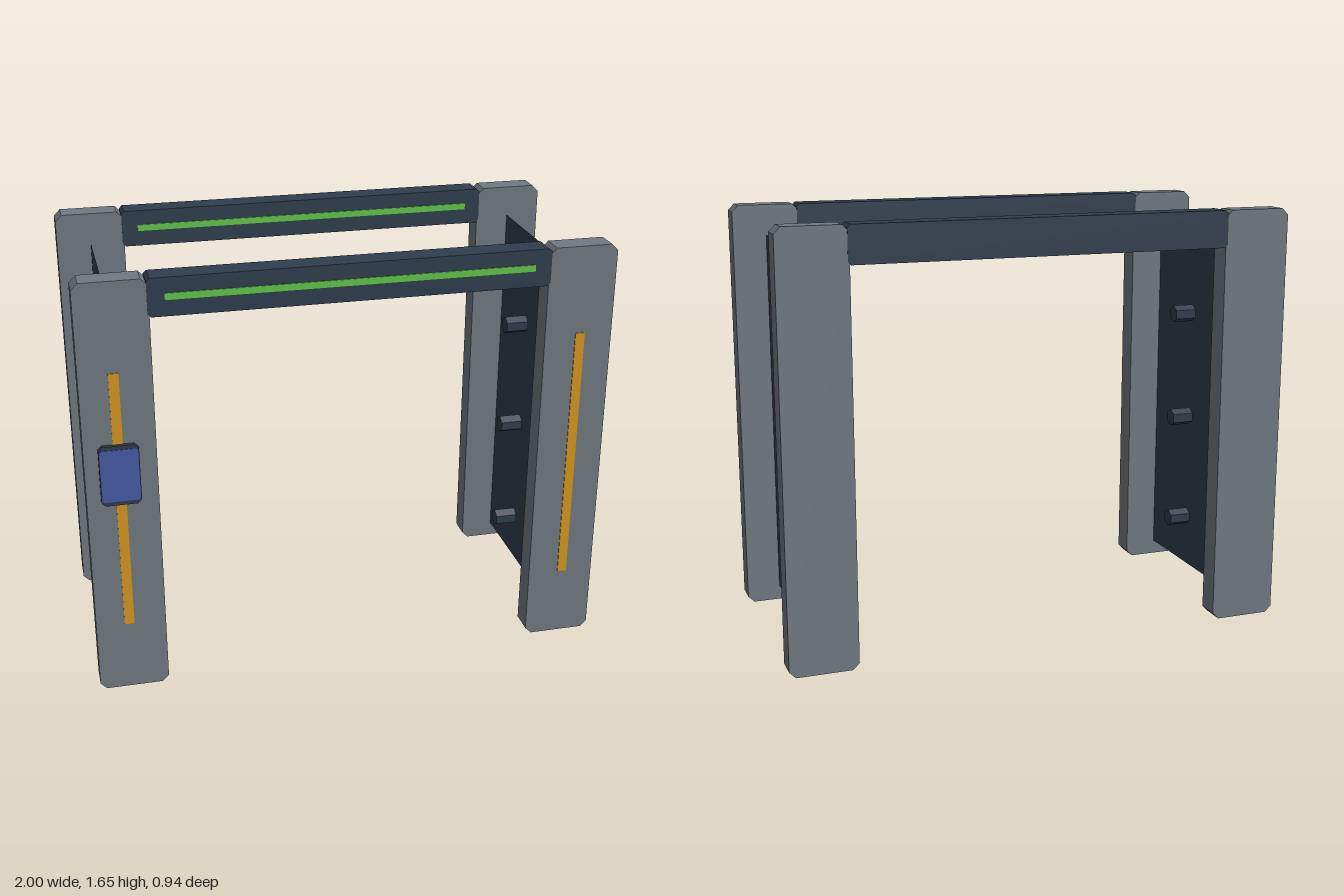
import * as THREE from 'three';

const mat = (name, color) => {
  const m = new THREE.MeshStandardMaterial({ color });
  m.name = name;
  return m;
};

// Plate in the xy plane with chamfered corners, spanning z0..z1
function chamferPlate(x0, x1, y0, y1, z0, z1, c) {
  const s = new THREE.Shape([
    [x0 + c, y0], [x1 - c, y0], [x1, y0 + c], [x1, y1 - c],
    [x1 - c, y1], [x0 + c, y1], [x0, y1 - c], [x0, y0 + c],
  ].map(([x, y]) => new THREE.Vector2(x, y)));
  return new THREE.ExtrudeGeometry(s, { depth: z1 - z0, bevelEnabled: false }).translate(0, 0, z0);
}

export function createModel() {
  const root = new THREE.Group();
  root.name = 'walkThroughGate';
  const grey = mat('pillar grey', 0x707a82);
  const navy = mat('dark navy', 0x2f3d4e);
  const panelNavy = mat('panel navy', 0x2f3d4e);
  panelNavy.side = THREE.DoubleSide;
  const orange = mat('orange light', 0xd6961f);
  const green = mat('green light', 0x5fc546);
  const blue = mat('screen blue', 0x465ca6);

  const add = (name, geometry, material, x = 0, y = 0, z = 0) => {
    const mesh = new THREE.Mesh(geometry, material);
    mesh.name = name;
    mesh.position.set(x, y, z);
    root.add(mesh);
  };

  // Two portal frames: pillars, top beam and its light strip
  for (const [end, z0, z1] of [['front', 0.36, 0.452], ['back', -0.47, -0.38]]) {
    add(end + 'RightPillar', chamferPlate(-1, -0.735, 0, 1.65, z0, z1, 0.025), grey);
    add(end + 'LeftPillar', chamferPlate(0.735, 1, 0, 1.65, z0, z1, 0.025), grey);
    add(end + 'Beam', chamferPlate(-0.742, 0.742, 1.507, 1.65, z0 - 0.001, z1 + 0.001, 0.012), navy);
    add(end + 'BeamLight', new THREE.BoxGeometry(1.36, 0.025, 0.004), green, 0, 1.58, z1 + 0.002);
  }

  for (const [side, s] of [['left', 1], ['right', -1]]) {
    // Thin wall between the front and back pillars
    add(side + 'Panel', new THREE.PlaneGeometry(0.74, 1.47).rotateY(s * Math.PI / 2),
      panelNavy, s * 0.868, 0.795, -0.01);
    // Light strip on the front pillar
    add(side + 'PillarLight', new THREE.BoxGeometry(0.037, 1.03, 0.004), orange, s * 0.874, 0.795, 0.453);
    // Six-sided sensor pegs on the inside
    for (const y of [0.295, 0.738, 1.18]) {
      const peg = new THREE.CylinderGeometry(0.035, 0.035, 0.088, 6, 1, false, Math.PI / 6)
        .rotateZ(Math.PI / 2).toNonIndexed();
      peg.computeVertexNormals();
      add(side + 'Sensor', peg, navy, s * 0.793, y, -0.015);
    }
  }

  // Control screen on the right front pillar
  add('screenFrame', chamferPlate(-0.947, -0.8, 0.797, 1.035, 0.45, 0.468, 0.015), navy);
  add('screen', chamferPlate(-0.943, -0.804, 0.813, 1.02, 0.467, 0.47, 0.006), blue);

  return root;
}
